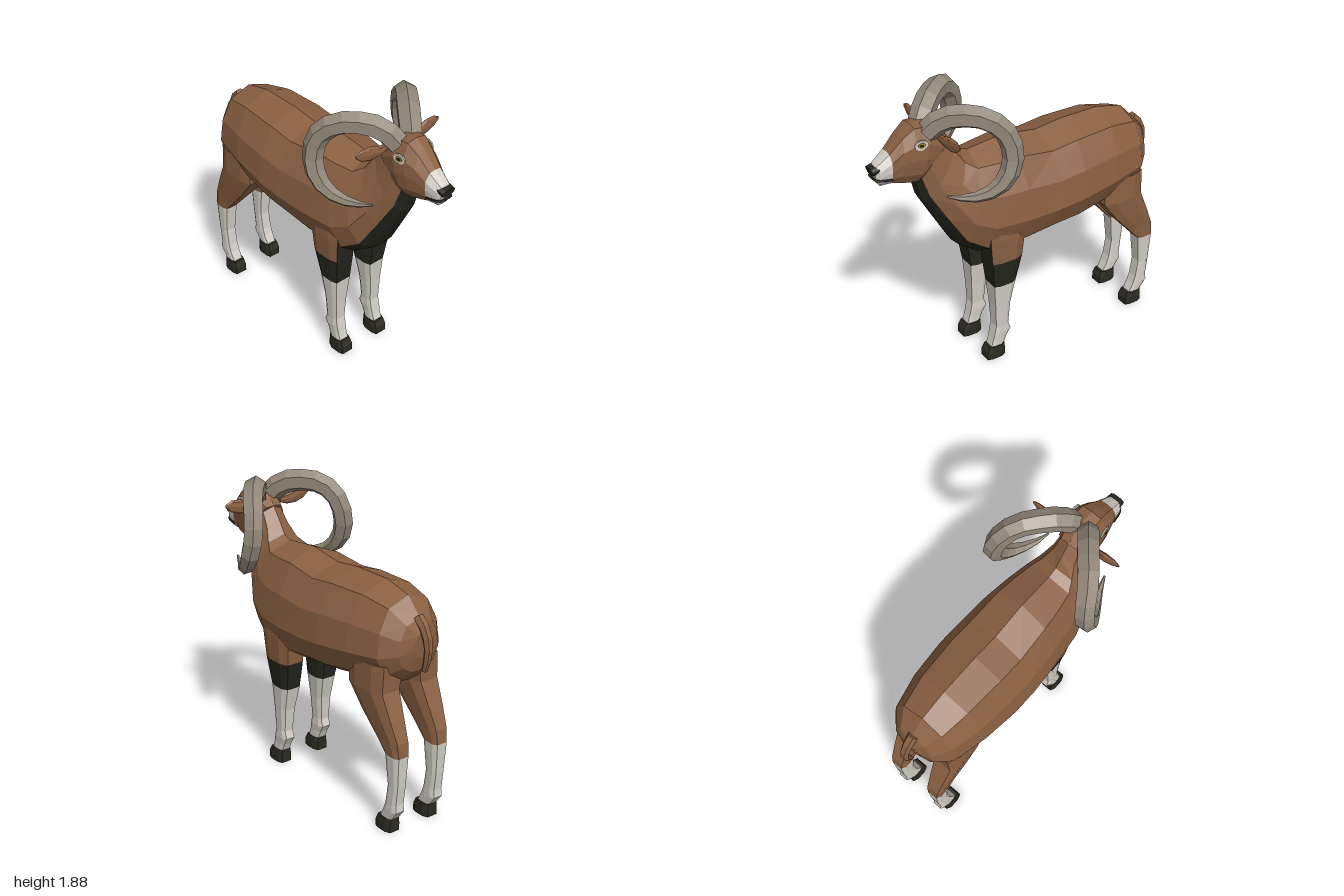
import * as THREE from 'three';

const mat = (name, color) => {
  const m = new THREE.MeshStandardMaterial({ color, flatShading: true });
  m.name = name;
  return m;
};

// Skin closed rings of points into a capped solid; pick(segment, side) gives the material index.
function loft(name, rings, mats, pick = () => 0) {
  const n = rings[0].length, last = rings.length - 1;
  const buckets = mats.map(() => []);
  const middle = (ring) => [0, 1, 2].map((k) => ring.reduce((s, p) => s + p[k], 0) / n);
  const ends = [middle(rings[0]), middle(rings[last])];
  for (let i = 0; i < n; i++) {
    const j = (i + 1) % n;
    for (let s = 0; s < last; s++) {
      const [a, b, c, d] = [rings[s][i], rings[s][j], rings[s + 1][j], rings[s + 1][i]];
      buckets[pick(s, i)].push([a, b, c], [a, c, d]);
    }
    buckets[pick(0, i)].push([ends[0], rings[0][j], rings[0][i]]);
    buckets[pick(last - 1, i)].push([ends[1], rings[last][i], rings[last][j]]);
  }
  // Turn all faces outwards, whichever way the rings run
  let volume = 0;
  const [A, B, C] = [new THREE.Vector3(), new THREE.Vector3(), new THREE.Vector3()];
  for (const t of buckets.flat()) {
    volume += A.fromArray(t[0]).dot(B.fromArray(t[1]).cross(C.fromArray(t[2])));
  }
  const geo = new THREE.BufferGeometry();
  const pos = [];
  buckets.forEach((tris, m) => {
    geo.addGroup(pos.length / 3, tris.length * 3, m);
    for (const [a, b, c] of tris) pos.push(...a, ...(volume < 0 ? [...c, ...b] : [...b, ...c]));
  });
  geo.setAttribute('position', new THREE.Float32BufferAttribute(pos, 3));
  geo.computeVertexNormals();
  const mesh = new THREE.Mesh(geo, mats);
  mesh.name = name;
  return mesh;
}

// Ring hung between a top and a bottom point on the centre line, [zTop, yTop, zBottom, yBottom, halfWidth]
const hung = (shape) => ([zt, yt, zb, yb, w]) => {
  const half = shape.map(([f, t]) => [f * w, yt + (yb - yt) * t, zt + (zb - zt) * t]);
  const mirrored = half.slice(1, -1).reverse().map(([x, y, z]) => [-x, y, z]);
  return [...half, ...mirrored];
};
const BODY = [[0, 0], [0.62, 0.1], [0.92, 0.36], [1, 0.64], [0.76, 0.87], [0.35, 0.98], [0, 1]];
const HEAD = [[0, 0], [0.6, 0.03], [1, 0.28], [1, 0.55], [0.85, 0.82], [0.5, 1], [0, 1]];

// Boxy leg section; side 1 faces the front
const LEG = [[1, 0.5], [0.8, 1], [-0.8, 1], [-1, 0.5], [-1, -0.5], [-0.7, -1], [0.7, -1], [1, -0.5]];
const legRing = (side) => ([y, z, rz, x, rx]) => LEG.map(([u, v]) => [side * (x + u * rx), y, z + v * rz]);

// Faceted tube along a curve with a changing radius
function sweep(name, points, radii, sides, steps, material) {
  const curve = new THREE.CatmullRomCurve3(points.map((p) => new THREE.Vector3(...p)));
  const { normals, binormals } = curve.computeFrenetFrames(steps);
  const rings = [];
  for (let s = 0; s <= steps; s++) {
    const f = (s / steps) * (radii.length - 1), k = Math.min(Math.floor(f), radii.length - 2);
    const r = THREE.MathUtils.lerp(radii[k], radii[k + 1], f - k);
    const c = curve.getPointAt(s / steps);
    rings.push(Array.from({ length: sides }, (_, i) => {
      const a = (i / sides) * Math.PI * 2;
      return c.clone().addScaledVector(normals[s], r * Math.cos(a))
        .addScaledVector(binormals[s], r * Math.sin(a)).toArray();
    }));
  }
  return loft(name, rings, [material]);
}

export function createModel() {
  const brown = mat('brown coat', 0x8a6042);
  const dark = mat('dark coat', 0x24251c);
  const white = mat('pale coat', 0xd3cec6);
  const horn = mat('horn', 0x93887b);
  const hoof = mat('hoof', 0x2b2b21);
  const gold = mat('iris', 0xa8842f);
  const model = new THREE.Group();
  model.name = 'ram';

  // Trunk and neck, from rump to throat, with a dark chest
  const trunk = [
    [-0.925, 1.26, -0.915, 1.1, 0.06],
    [-0.89, 1.34, -0.89, 1.01, 0.15],
    [-0.79, 1.445, -0.81, 0.925, 0.235],
    [-0.6, 1.49, -0.55, 0.87, 0.285],
    [-0.32, 1.487, -0.32, 0.83, 0.31],
    [-0.14, 1.465, -0.14, 0.82, 0.31],
    [0.1, 1.5, 0.06, 0.78, 0.295],
    [0.22, 1.49, 0.35, 0.785, 0.27],
    [0.35, 1.475, 0.48, 0.88, 0.235],
    [0.41, 1.5, 0.59, 1.07, 0.18],
    [0.46, 1.575, 0.695, 1.256, 0.13],
    [0.54, 1.68, 0.73, 1.39, 0.108],
  ];
  model.add(loft('body', trunk.map(hung(BODY)), [brown, dark],
    (s, i) => (s >= 7 && i >= 4 && i <= 7 ? 1 : 0)));

  // Head with a pale muzzle
  const head = [
    [0.52, 1.66, 0.66, 1.42, 0.1],
    [0.64, 1.755, 0.72, 1.4, 0.12],
    [0.73, 1.762, 0.78, 1.41, 0.112],
    [0.8, 1.71, 0.85, 1.425, 0.092],
    [0.885, 1.625, 0.88, 1.43, 0.073],
    [0.965, 1.565, 0.95, 1.43, 0.056],
    [0.985, 1.535, 0.97, 1.455, 0.042],
  ];
  model.add(loft('head', head.map(hung(HEAD)), [brown, white], (s) => (s >= 4 ? 1 : 0)));
  const nose = [[0.95, 1.56, 0.96, 1.51, 0.052], [1, 1.55, 0.992, 1.505, 0.048]];
  model.add(loft('nose', nose.map(hung(HEAD)), [dark]));
  const lip = [[0.064, 1.466, 0.885], [0.053, 1.475, 0.96], [0.037, 1.48, 0.981]];
  const mouth = [...lip, [0, 1.48, 0.982], ...lip.map(([x, y, z]) => [-x, y, z]).reverse()];
  model.add(sweep('mouth', mouth, [0.008, 0.008], 5, 14, dark));

  // Tail
  const tail = [[0, 1.34, -0.88], [0, 1.28, -0.94], [0, 1.19, -0.972], [0, 1.1, -0.965], [0, 1.03, -0.945]];
  model.add(sweep('tail', tail, [0.034, 0.032, 0.028, 0.024, 0.018], 6, 5, brown));

  const hornPath = [
    [0.05, 1.7, 0.64], [0.1, 1.78, 0.57], [0.18, 1.81, 0.47], [0.27, 1.79, 0.36],
    [0.325, 1.7, 0.275], [0.35, 1.56, 0.25], [0.355, 1.46, 0.28], [0.335, 1.37, 0.35],
    [0.29, 1.325, 0.45], [0.245, 1.325, 0.55], [0.22, 1.345, 0.62],
  ];
  const hornRadii = [0.07, 0.075, 0.072, 0.07, 0.067, 0.065, 0.06, 0.045, 0.028, 0.006];
  // Ear rings: x, y, half height, half depth
  const ear = [
    [0.09, 1.67, 0.02, 0.015], [0.15, 1.665, 0.034, 0.018], [0.22, 1.677, 0.047, 0.018],
    [0.28, 1.688, 0.038, 0.012], [0.322, 1.695, 0.01, 0.005],
  ];
  // Leg rings: y, z, half depth, x, half width
  const frontHoof = [[0, 0.275, 0.067, 0.148, 0.05], [0.05, 0.275, 0.066, 0.148, 0.051], [0.09, 0.265, 0.056, 0.148, 0.046]];
  const frontShin = [
    [0.09, 0.26, 0.048, 0.148, 0.041], [0.14, 0.242, 0.05, 0.148, 0.041], [0.19, 0.222, 0.06, 0.148, 0.045],
    [0.24, 0.225, 0.046, 0.148, 0.043], [0.4, 0.222, 0.056, 0.146, 0.053], [0.56, 0.21, 0.08, 0.142, 0.068],
  ];
  const frontThigh = [
    [0.56, 0.21, 0.08, 0.142, 0.068], [0.75, 0.205, 0.11, 0.152, 0.084],
    [0.91, 0.205, 0.125, 0.155, 0.092], [1.06, 0.205, 0.125, 0.155, 0.092],
  ];
  const hindHoof = [[0, -0.83, 0.065, 0.15, 0.05], [0.05, -0.83, 0.064, 0.15, 0.051], [0.09, -0.838, 0.055, 0.15, 0.046]];
  const hindShin = [
    [0.09, -0.848, 0.048, 0.15, 0.041], [0.15, -0.885, 0.055, 0.15, 0.044], [0.2, -0.89, 0.044, 0.15, 0.043],
    [0.32, -0.905, 0.042, 0.15, 0.043], [0.52, -0.9, 0.058, 0.15, 0.052],
  ];
  const hindThigh = [
    [0.52, -0.9, 0.058, 0.15, 0.052], [0.61, -0.855, 0.093, 0.15, 0.058], [0.74, -0.77, 0.124, 0.15, 0.074],
    [0.89, -0.68, 0.148, 0.147, 0.092], [1.06, -0.68, 0.15, 0.13, 0.105],
  ];

  for (const side of [1, -1]) {
    const label = side > 0 ? 'left' : 'right';
    const add = (name, rings, mats, pick) =>
      model.add(loft(label + name, rings.map(legRing(side)), mats, pick));

    // Legs
    add('FrontHoof', frontHoof, [hoof]);
    add('FrontShin', frontShin, [white]);
    add('FrontThigh', frontThigh, [dark, brown], (s, i) => (s === 0 || (s === 1 && i === 1) ? 0 : 1));
    add('HindHoof', hindHoof, [hoof]);
    add('HindShin', hindShin, [white]);
    add('HindThigh', hindThigh, [brown]);

    // Curled horn
    model.add(sweep(label + 'Horn', hornPath.map(([x, y, z]) => [side * x, y, z]), hornRadii, 6, 14, horn));

    // Leaf-shaped ear
    model.add(loft(label + 'Ear', ear.map(([x, y, h, d]) => Array.from({ length: 8 }, (_, i) => {
      const a = (i / 8) * Math.PI * 2;
      return [side * x, y + h * Math.sin(a), 0.585 + d * Math.cos(a)];
    })), [brown]));

    // Eye: pale rim, iris and pupil as stacked thin plates
    const eye = new THREE.Group();
    eye.name = label + 'Eye';
    [['rim', 0.043, 0.032, white], ['iris', 0.024, 0.018, gold], ['pupil', 0.013, 0.008, dark]]
      .forEach(([name, rx, ry, material], k) => {
        const plate = new THREE.Mesh(new THREE.CylinderGeometry(1, 1, 1, 10).rotateX(Math.PI / 2), material);
        plate.name = name;
        plate.scale.set(rx, ry, 0.009);
        plate.position.z = k * 0.003;
        eye.add(plate);
      });
    eye.position.set(side * 0.116, 1.663, 0.715);
    eye.rotation.y = side * (Math.PI / 2 - 0.14);
    model.add(eye);
  }
  return model;
}
